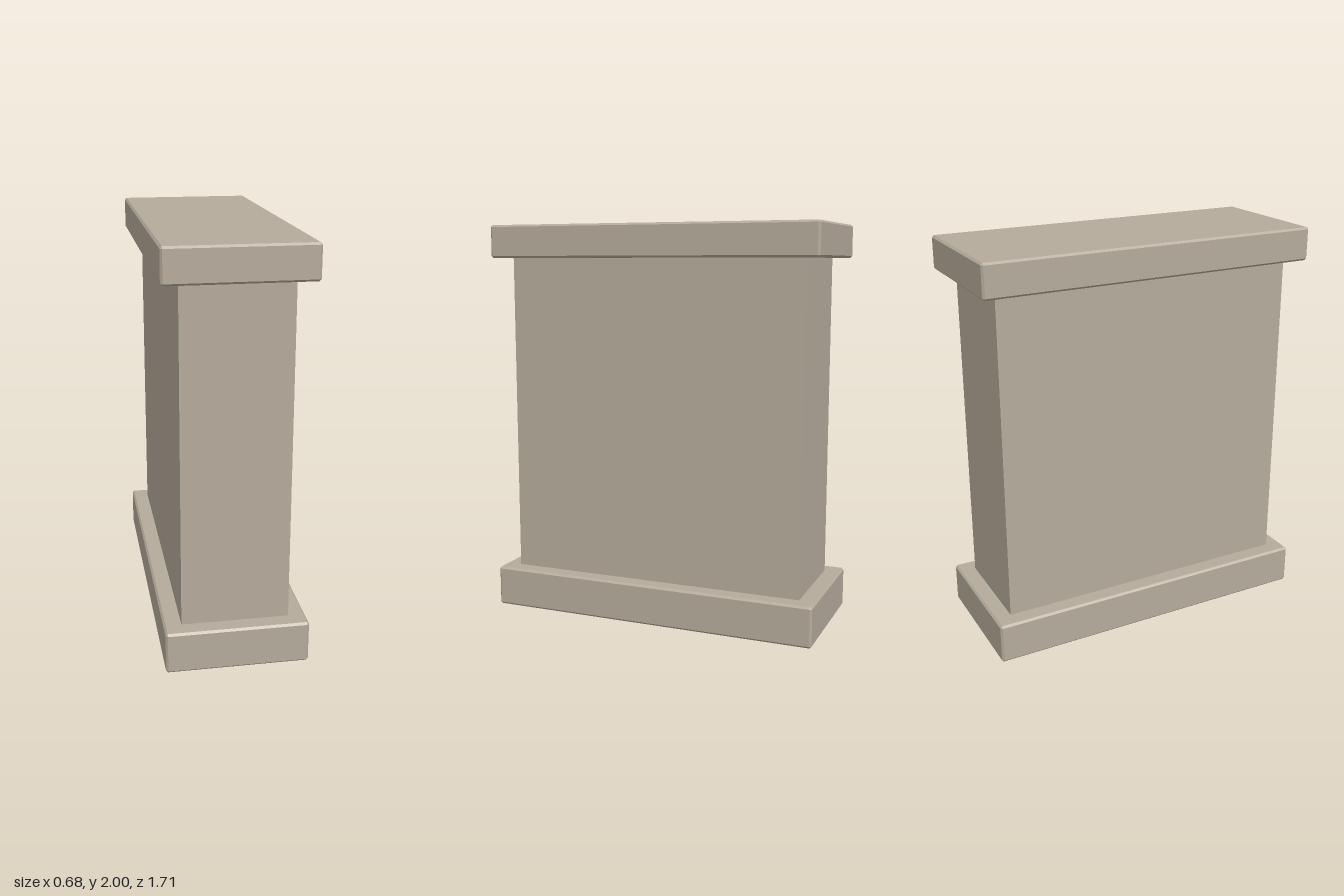
import * as THREE from 'three';
import { ConvexGeometry } from 'three/addons/geometries/ConvexGeometry.js';

const stone = new THREE.MeshStandardMaterial({ color: 0xb5ab9b });
stone.name = 'warm grey stone';

// Box with every edge chamfered by c
function chamferedBox(w, h, d, c) {
  const points = [];
  for (const sx of [-1, 1]) for (const sy of [-1, 1]) for (const sz of [-1, 1]) {
    const x = w / 2, y = h / 2, z = d / 2;
    points.push(
      new THREE.Vector3(sx * x, sy * (y - c), sz * (z - c)),
      new THREE.Vector3(sx * (x - c), sy * y, sz * (z - c)),
      new THREE.Vector3(sx * (x - c), sy * (y - c), sz * z),
    );
  }
  return new ConvexGeometry(points);
}

export function createModel() {
  const model = new THREE.Group();
  model.name = 'pillar';

  const add = (name, geometry, y) => {
    const mesh = new THREE.Mesh(geometry, stone);
    mesh.name = name;
    mesh.position.y = y;
    model.add(mesh);
  };

  // Plinth, plain shaft and capping slab
  add('base', chamferedBox(0.684, 0.205, 1.71, 0.01), 0.1025);
  add('shaft', new THREE.BoxGeometry(0.515, 1.65, 1.542), 1.02);
  add('cap', chamferedBox(0.684, 0.165, 1.71, 0.01), 1.9175);

  return model;
}
